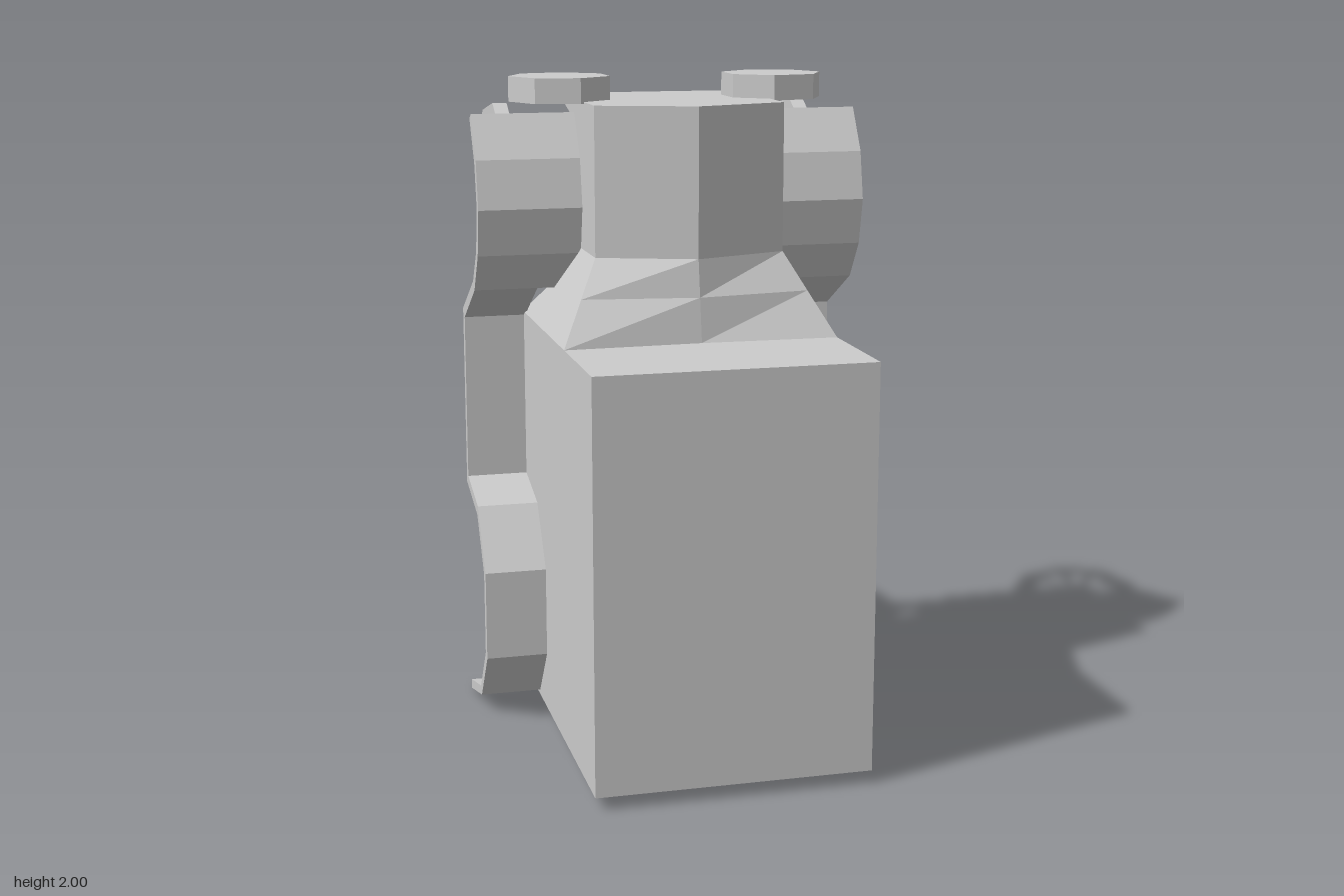
import * as THREE from 'three';

const mat = new THREE.MeshStandardMaterial({ color: 0xcccccc, flatShading: true });

function add(parent, name, geometry) {
  const mesh = new THREE.Mesh(geometry, mat);
  mesh.name = name;
  parent.add(mesh);
  return mesh;
}

// Six-sided sections stacked along y; rows are [y, halfWidth, frontMiddleZ, frontCornerZ, archZ]
function loft(rows, keelZ) {
  const pos = [], idx = [], n = 6;
  for (const [y, x, zm, zc, za] of rows)
    pos.push(0, y, zm, x, y, zc, x, y, za, 0, y, keelZ, -x, y, za, -x, y, zc);
  for (let i = 0; i < rows.length - 1; i++)
    for (let j = 0; j < n; j++) {
      const a = i * n + j, b = i * n + (j + 1) % n;
      idx.push(a, b, b + n, a, b + n, a + n);
    }
  const top = (rows.length - 1) * n;
  for (let k = 1; k < n - 1; k++) idx.push(0, k + 1, k, top, top + k, top + k + 1);
  const g = new THREE.BufferGeometry();
  g.setAttribute('position', new THREE.Float32BufferAttribute(pos, 3));
  g.setIndex(idx);
  const flat = g.toNonIndexed();
  flat.computeVertexNormals();
  return flat;
}

// Extrudes a (z, y) outline across x from x0 to x1
function extrudeX(shape, x0, x1) {
  const g = new THREE.ExtrudeGeometry(shape, { depth: x1 - x0, bevelEnabled: false });
  return g.rotateY(-Math.PI / 2).translate(x1, 0, 0);
}

function ngon(sides, r) {
  return Array.from({ length: sides }, (_, i) => {
    const a = (i / sides) * Math.PI * 2;
    return new THREE.Vector2(r * Math.cos(a), r * Math.sin(a));
  });
}

const outline = (pts) => new THREE.Shape(pts.map(([z, y]) => new THREE.Vector2(z, y)));

function makeWheel() {
  const wheel = new THREE.Group();
  const rim = new THREE.Shape(ngon(9, 0.295));
  rim.holes.push(new THREE.Path(ngon(9, 0.243).reverse()));
  add(wheel, 'rim', extrudeX(rim, -0.022, 0.022));
  add(wheel, 'hub', extrudeX(new THREE.Shape(ngon(5, 0.07)), -0.035, 0.035));
  for (let i = 0; i < 10; i++) {
    const g = new THREE.BoxGeometry(0.016, 0.2, 0.016).translate(0, 0.145, 0);
    add(wheel, 'spoke', g).rotation.x = (i / 10) * Math.PI * 2;
  }
  return wheel;
}

export function createModel() {
  const model = new THREE.Group();
  model.name = 'car';
  const KEEL = -0.39, WHEEL_Z = -0.4;

  // Cabin, with rear wheel arches sloping to a central keel
  const cabinArch = [[0.04, -0.38], [0.08, -0.19], [0.23, -0.07], [0.49, -0.07], [0.65, -0.19], [0.71, -0.38], [1.25, -0.38]];
  add(model, 'cabin', loft(cabinArch.map(([y, z]) => [y, 0.41, 0.68, 0.68, z]), KEEL));

  // Hood, flaring into the cabin, with front wheel arches
  const hoodArch = [[1.25, -0.38], [1.38, -0.17], [1.49, -0.08], [1.62, -0.06], [1.74, -0.09], [1.875, -0.17], [1.93, -0.385]];
  add(model, 'hood', loft(hoodArch.map(([y, z]) => {
    const t = Math.min(1, (y - 1.25) / 0.24);
    return [y, 0.41 - 0.125 * t, 0.29 - 0.04 * t, 0.3 - 0.15 * t, z];
  }), KEEL));

  // Fenders and running board as one folded strip, as [z, y]
  const outer = [[-0.385, 0], [-0.17, 0.055], [-0.04, 0.22], [-0.04, 0.495], [-0.17, 0.675], [-0.36, 0.725],
    [-0.36, 1.24], [-0.14, 1.36], [-0.06, 1.475], [-0.03, 1.615], [-0.06, 1.76], [-0.14, 1.89]];
  const inner = [[-0.385, 0.03], [-0.185, 0.08], [-0.07, 0.23], [-0.07, 0.485], [-0.185, 0.645], [-0.39, 0.7],
    [-0.39, 1.265], [-0.165, 1.385], [-0.09, 1.485], [-0.06, 1.615], [-0.09, 1.75], [-0.167, 1.875]];
  const strip = outline([...outer, ...inner.slice().reverse()]);
  const gusset = outline([...outer.slice(7), ...inner.slice(7).reverse()]);
  add(model, 'leftFender', extrudeX(strip, 0.405, 0.598));
  add(model, 'rightFender', extrudeX(strip, -0.598, -0.405));
  add(model, 'leftFenderRoot', extrudeX(gusset, 0.28, 0.405));
  add(model, 'rightFenderRoot', extrudeX(gusset, -0.405, -0.28));

  // Axles and spoked wheels
  for (const [name, y] of [['rear', 0.365], ['front', 1.615]]) {
    const axle = add(model, name + 'Axle', extrudeX(new THREE.Shape(ngon(5, 0.05)), -0.45, 0.45));
    axle.position.set(0, y, WHEEL_Z);
    for (const s of [1, -1]) {
      const wheel = makeWheel();
      wheel.name = name + (s > 0 ? 'LeftWheel' : 'RightWheel');
      wheel.position.set(s * 0.477, y, WHEEL_Z);
      model.add(wheel);
    }
  }

  // Headlights
  for (const s of [1, -1]) {
    const lamp = add(model, s > 0 ? 'leftHeadlight' : 'rightHeadlight',
      new THREE.CylinderGeometry(0.155, 0.155, 0.075, 7).rotateY(s * Math.PI / 2));
    lamp.position.set(s * 0.33, 1.9625, -0.135);
  }
  return model;
}
